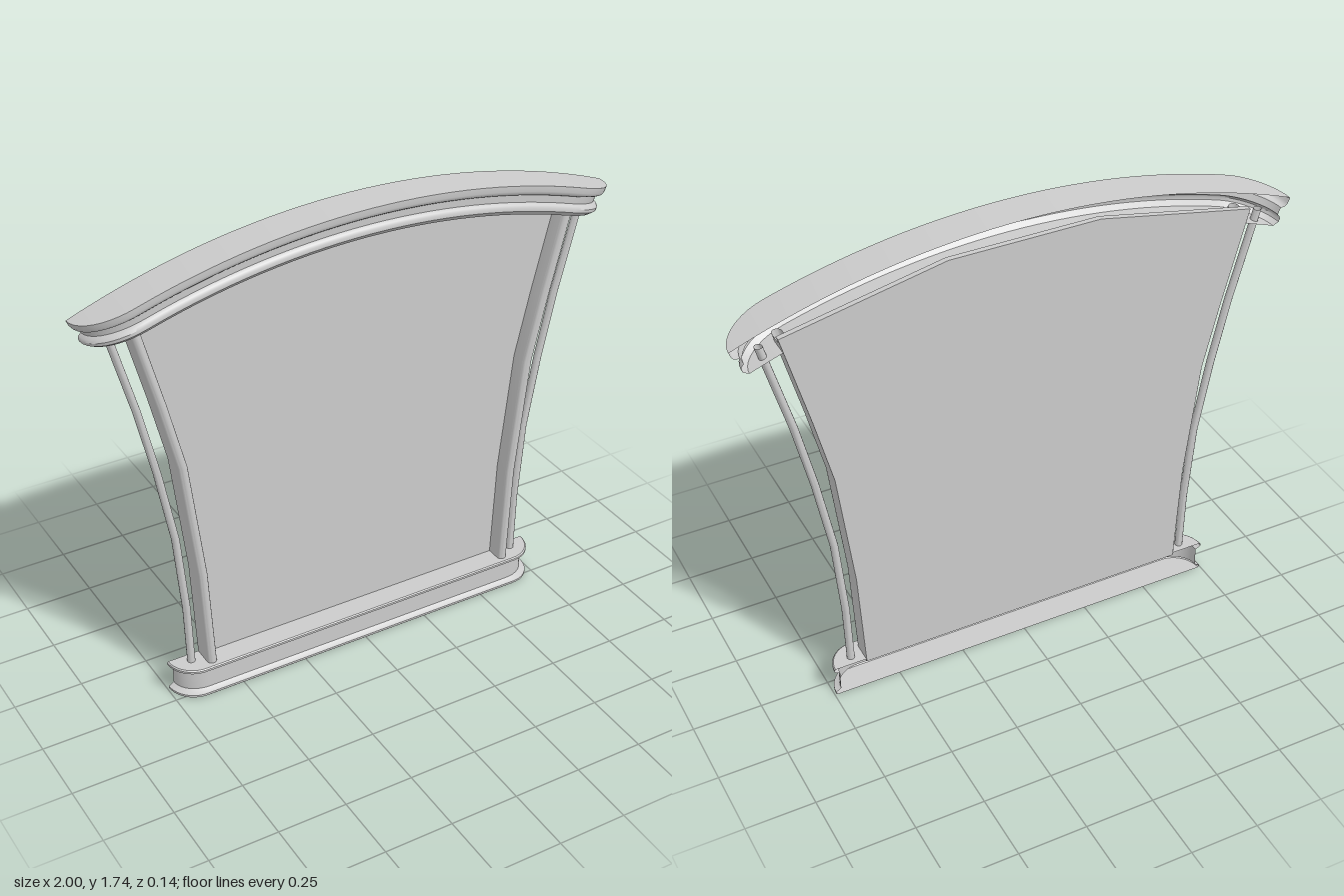
import * as THREE from 'three';
import { toCreasedNormals } from 'three/addons/utils/BufferGeometryUtils.js';

const BACK = -0.07;
const material = new THREE.MeshStandardMaterial({ color: 0xcccccc, side: THREE.DoubleSide });

// Skin a sheet through rows of [x, y, z] points
function skin(name, rows, crease = 0.6) {
  const n = rows[0].length, index = [];
  for (let i = 0; i < rows.length - 1; i++) {
    for (let j = 0; j < n - 1; j++) {
      const a = i * n + j, b = a + n;
      index.push(a, b, a + 1, b, b + 1, a + 1);
    }
  }
  const geo = new THREE.BufferGeometry();
  geo.setAttribute('position', new THREE.Float32BufferAttribute(rows.flat(2), 3));
  geo.setIndex(index);
  const mesh = new THREE.Mesh(toCreasedNormals(geo, crease), material);
  mesh.name = name;
  return mesh;
}

// Plan outline, open at the back, with elliptical front corners
function outline(halfWidth, front, cornerX, inset) {
  const depth = front - inset - BACK, flat = halfWidth - inset - cornerX;
  const corner = [], straight = [];
  for (let i = 0; i <= 10; i++) {
    const a = (i / 10) * Math.PI / 2;
    corner.push([flat + cornerX * Math.cos(a), BACK + depth * Math.sin(a)]);
  }
  for (let i = 1; i < 28; i++) straight.push([-flat + 2 * flat * i / 28, BACK + depth]);
  return [...corner.map(([x, z]) => [-x, z]), ...straight, ...corner.reverse()];
}

// Hollow moulding: profile of [level, inset], capped above and below, open behind
function moulding(name, profile, halfWidth, front, cornerX, place) {
  const rows = profile.map(([v, inset]) =>
    outline(halfWidth, front, cornerX, inset).map(([x, z]) => [...place(x, v), z]));
  const toBack = row => row.map(([x, y]) => [x, y, BACK]);
  return skin(name, [toBack(rows[0]), ...rows, toBack(rows[rows.length - 1])]);
}

// Sweep a horizontal section of [x, z] up a path of [x, y]
function upright(name, path, section, crease) {
  return skin(name, path.map(([px, py]) => section.map(([x, z]) => [px + x, py, z])), crease);
}

export function createModel() {
  const group = new THREE.Group();

  // Straight base: two flanges joined by a recessed web
  group.add(moulding('base', [
    [0, 0.004], [0.004, 0], [0.012, 0], [0.016, 0.01], [0.023, 0.02], [0.097, 0.02],
    [0.102, 0.008], [0.108, 0], [0.116, 0], [0.12, 0.004],
  ], 0.745, 0.035, 0.1, (x, y) => [x, y]));

  // Arched cornice: profile drops radially from the top arc
  const R = 2.73, CY = -0.99;
  group.add(moulding('cornice', [
    [0, 0], [0.02, 0], [0.03, 0.003], [0.036, 0.01], [0.04, 0.02], [0.066, 0.021],
    [0.072, 0.01], [0.08, 0.005], [0.092, 0.005], [0.1, 0.012], [0.109, 0.02],
  ], 1, 0.07, 0.17, (x, v) => {
    const a = Math.asin(x / R);
    return [(R - v) * Math.sin(a), CY + (R - v) * Math.cos(a)];
  }));

  // Inner jambs: channels with rounded fronts, closed behind by the panel
  const channel = [[-0.0175, BACK]];
  for (let i = 0; i <= 8; i++) {
    const a = Math.PI * (1 - i / 8);
    channel.push([0.0175 * Math.cos(a), 0.0175 * Math.sin(a)]);
  }
  channel.push([0.0175, BACK]);
  const jamb = [[0.606, 0.11], [0.625, 0.5], [0.676, 0.95], [0.735, 1.2], [0.82, 1.53]];

  // Outer posts: slim round rods
  const ring = [];
  for (let i = 0; i <= 12; i++) {
    const a = i / 12 * Math.PI * 2;
    ring.push([0.0142 * Math.cos(a), -0.035 + 0.0142 * Math.sin(a)]);
  }
  const post = [[0.668, 0.1], [0.675, 0.35], [0.7, 0.65], [0.75, 0.93], [0.805, 1.18], [0.895, 1.52]];

  for (const [side, s] of [['left', 1], ['right', -1]]) {
    const mirror = path => path.map(([x, y]) => [x * s, y]);
    group.add(upright(side + 'Jamb', mirror(jamb), channel, 0.5));
    group.add(upright(side + 'Post', mirror(post), ring, 0.8));
  }

  // Back panel reaching the outer jamb edges, with a faceted top
  const edge = [...jamb.map(([x, y]) => [x + 0.0165, y]), [0.842, 1.55], [0.27, 1.668]];
  const points = [...edge, ...edge.map(([x, y]) => [-x, y]).reverse()];
  const shape = new THREE.Shape(points.map(p => new THREE.Vector2(...p)));
  const panel = new THREE.Mesh(
    new THREE.ExtrudeGeometry(shape, { depth: 0.02, bevelEnabled: false }), material);
  panel.position.z = BACK - 0.001;
  panel.name = 'panel';
  group.add(panel);

  return group;
}
